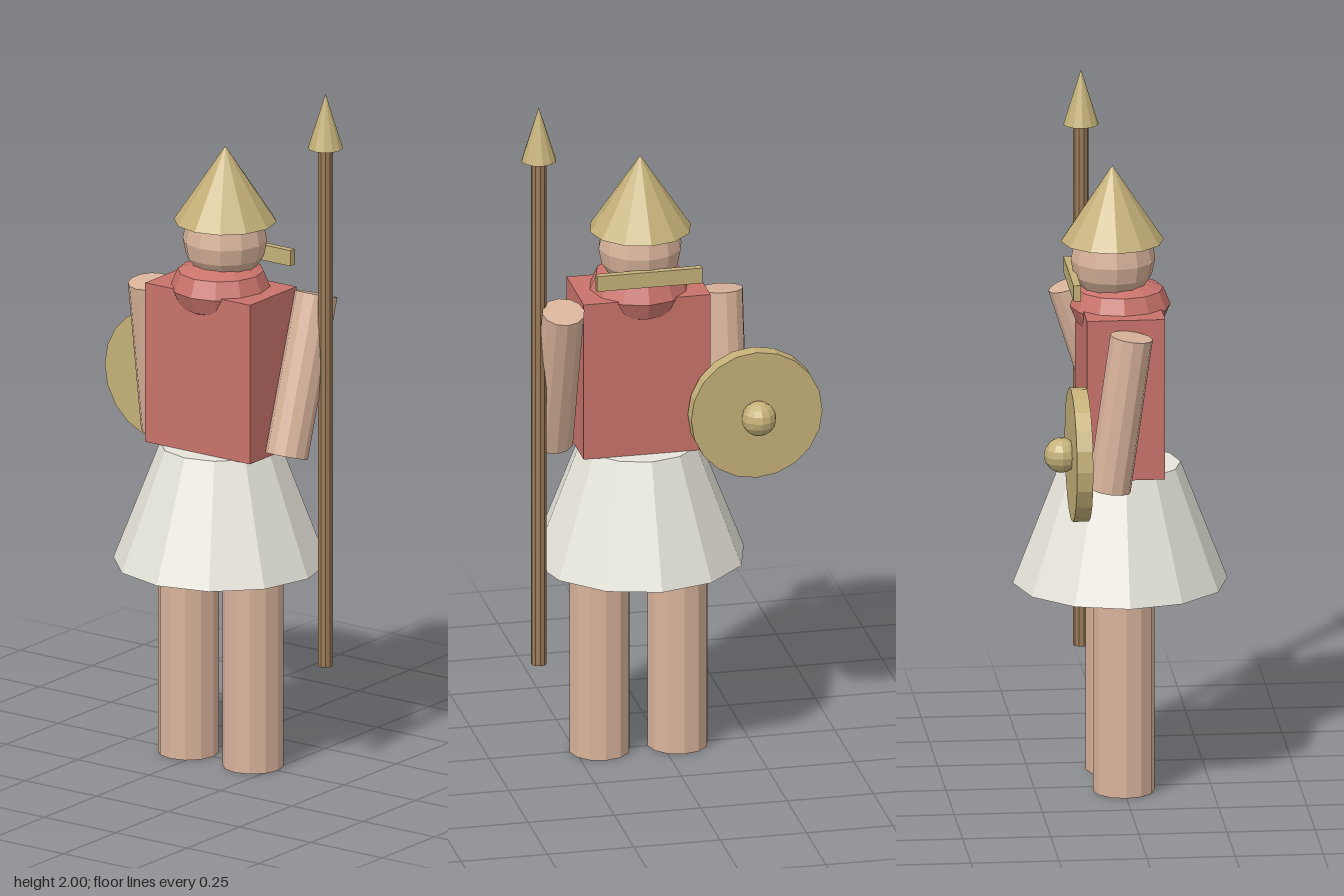
import * as THREE from 'three';

const material = (color) => new THREE.MeshStandardMaterial({ color, flatShading: true });

export function createModel() {
  const group = new THREE.Group();
  const skin = material(0xd9b39b), red = material(0xc9736b), white = material(0xe6e4da);
  const brass = material(0xc4b078), wood = material(0x9a7a58);
  const cx = 0.068; // body axis

  function add(name, geometry, mat, x, y, z) {
    const mesh = new THREE.Mesh(geometry, mat);
    mesh.name = name;
    mesh.position.set(x, y, z);
    group.add(mesh);
    return mesh;
  }

  // Cylinder running between two end points
  function limb(name, from, to, radius) {
    const a = new THREE.Vector3(...from), b = new THREE.Vector3(...to);
    const dir = b.clone().sub(a);
    const mid = a.clone().add(b).multiplyScalar(0.5);
    const mesh = add(name, new THREE.CylinderGeometry(radius, radius, dir.length(), 12), skin, mid.x, mid.y, mid.z);
    mesh.quaternion.setFromUnitVectors(new THREE.Vector3(0, 1, 0), dir.normalize());
  }

  // Legs and arms
  limb('rightLeg', [cx - 0.113, 0, 0], [cx - 0.113, 0.62, 0], 0.087);
  limb('leftLeg', [cx + 0.113, 0, 0], [cx + 0.113, 0.62, 0], 0.087);
  limb('rightArm', [-0.175, 0.922, -0.053], [-0.175, 1.368, 0.01], 0.061);
  limb('leftArm', [0.313, 0.943, 0.02], [0.313, 1.388, -0.122], 0.061);

  // Skirt and torso
  add('skirt', new THREE.CylinderGeometry(0.172, 0.305, 0.345, 12), white, cx, 0.758, 0);
  add('torso', new THREE.BoxGeometry(0.367, 0.47, 0.222), red, cx, 1.165, 0);

  // Scarf ring around the neck
  const scarf = new THREE.TorusGeometry(0.072, 0.071, 8, 12).rotateX(Math.PI / 2);
  add('scarf', scarf, red, cx, 1.395, 0);

  // Head, pointed hat and bar behind the neck
  add('head', new THREE.SphereGeometry(0.12, 12, 8), skin, cx, 1.53, -0.02);
  add('hat', new THREE.ConeGeometry(0.146, 0.22, 12), brass, cx, 1.695, -0.022);
  add('neckBar', new THREE.BoxGeometry(0.305, 0.046, 0.021), brass, cx, 1.474, -0.136);

  // Round shield with boss on its outer (rear) face
  const disc = new THREE.CylinderGeometry(0.19, 0.19, 0.046, 20).rotateX(Math.PI / 2);
  add('shield', disc, brass, -0.237, 1.045, -0.145);
  add('shieldBoss', new THREE.SphereGeometry(0.05, 12, 8), brass, -0.237, 1.045, -0.195);

  // Spear
  add('spearShaft', new THREE.CylinderGeometry(0.022, 0.022, 1.53, 10), wood, 0.375, 1.075, -0.082);
  add('spearTip', new THREE.ConeGeometry(0.05, 0.16, 12), brass, 0.375, 1.92, -0.082);

  return group;
}
